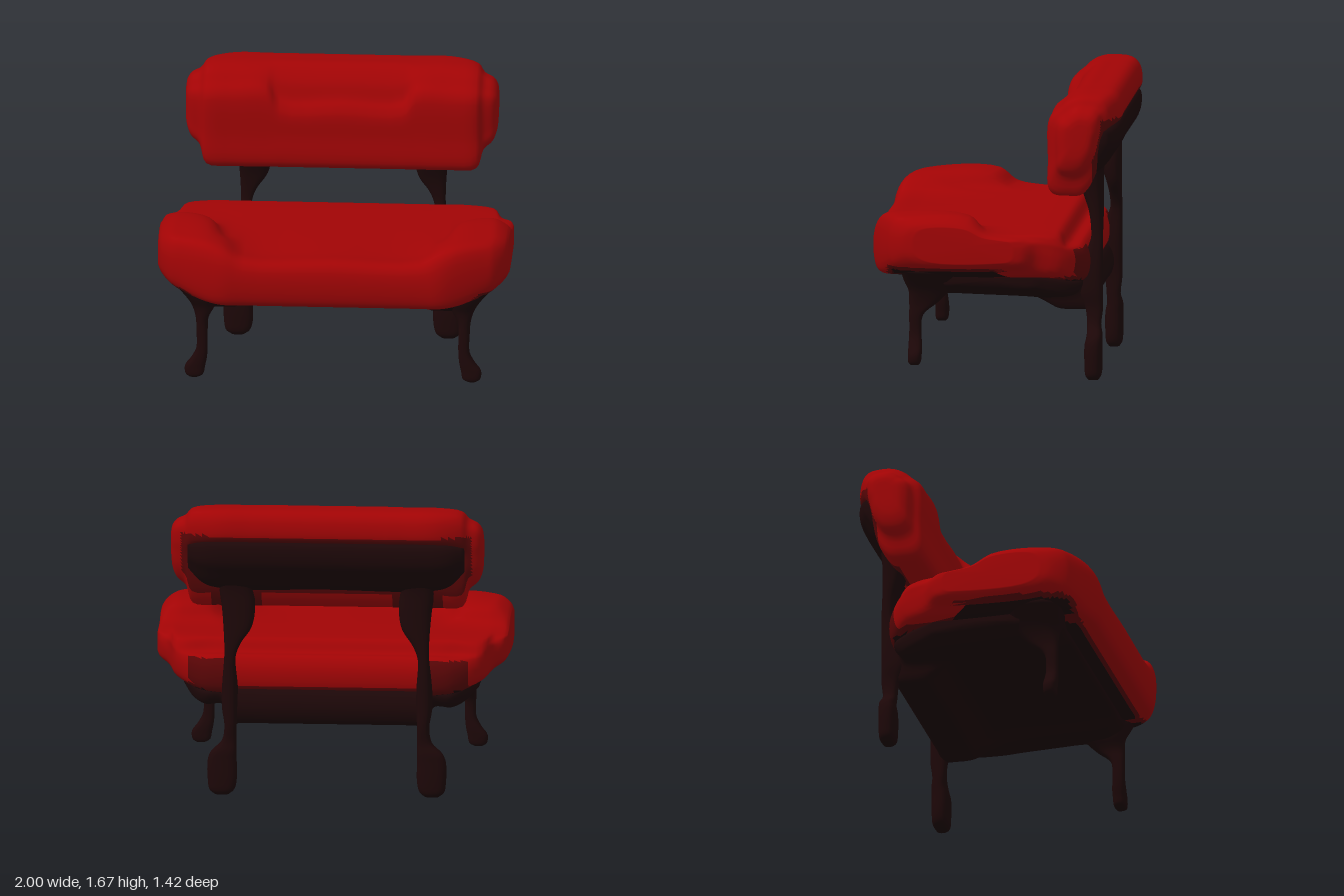
import * as THREE from 'three';

const material = (name, color) => Object.assign(new THREE.MeshStandardMaterial({ color }), { name });
const red = material('red upholstery', 0xa20405);
const maroon = material('maroon edging', 0x5a0506);
const dark = material('dark wood', 0x1d0708);

// Skin smooth rings of points into a closed solid
function skin(rings, steps = 4) {
  const n = rings[0].length;
  const cols = rings[0].map((_, j) =>
    new THREE.CatmullRomCurve3(rings.map(r => r[j])).getPoints((rings.length - 1) * steps));
  const count = cols[0].length, pos = [], index = [];
  for (let i = 0; i < count; i++) for (let j = 0; j < n; j++) pos.push(...cols[j][i].toArray());
  for (const i of [0, count - 1]) {
    const mid = new THREE.Vector3();
    cols.forEach(c => mid.addScaledVector(c[i], 1 / n));
    pos.push(...mid.toArray());
  }
  const first = count * n, last = first + 1, end = (count - 1) * n;
  for (let j = 0; j < n; j++) {
    const k = (j + 1) % n;
    for (let i = 0; i < count - 1; i++) {
      const a = i * n + j, b = i * n + k;
      index.push(a, a + n, b, b, a + n, b + n);
    }
    index.push(first, j, k, last, end + k, end + j);
  }
  const g = new THREE.BufferGeometry();
  g.setAttribute('position', new THREE.Float32BufferAttribute(pos, 3));
  g.setIndex(index);
  g.computeVertexNormals();
  return g;
}

// Sort faces into material groups; the rule takes the face centre (|x|, y, z)
function paint(g, rule) {
  const p = g.attributes.position, idx = g.index.array, sets = [[], [], []];
  for (let i = 0; i < idx.length; i += 3) {
    const f = [idx[i], idx[i + 1], idx[i + 2]];
    const mean = axis => f.reduce((sum, v) => sum + p['get' + axis](v) / 3, 0);
    sets[rule(Math.abs(mean('X')), mean('Y'), mean('Z'))].push(...f);
  }
  let start = 0;
  sets.forEach((s, m) => { g.addGroup(start, s.length, m); start += s.length; });
  g.setIndex(sets.flat());
  return g;
}

// Symmetric body along x; each station is [x, [z, y] profile points], from the centre outwards
function acrossBody(stations) {
  const ring = ([x, pts], s) => new THREE.CatmullRomCurve3(
    pts.map(([z, y]) => new THREE.Vector3(s * x, y, z)), true).getPoints(pts.length * 5).slice(0, -1);
  return skin([
    ...stations.slice(1).reverse().map(st => ring(st, -1)),
    ...stations.map(st => ring(st, 1)),
  ]);
}

// Upright limb; each station is [y, x0, x1, z0, z1]
function limb(stations, side) {
  return skin(stations.map(([y, x0, x1, z0, z1]) =>
    Array.from({ length: 20 }, (_, j) => {
      const a = j / 20 * Math.PI * 2;
      const soft = v => Math.sign(v) * Math.pow(Math.abs(v), 0.75);
      return new THREE.Vector3(
        side * (x0 + x1) / 2 + soft(Math.cos(a)) * (x1 - x0) / 2, y,
        (z0 + z1) / 2 + soft(Math.sin(a)) * (z1 - z0) / 2);
    })));
}

// Pull a profile towards a point, for rounded ends
const shrink = (pts, k, [cz, cy]) => pts.map(([z, y]) => [cz + (z - cz) * k, cy + (y - cy) * k]);

export function createModel() {
  const model = new THREE.Group();
  model.name = 'bench';
  const add = (name, geometry, mat) => {
    const mesh = new THREE.Mesh(geometry, mat);
    mesh.name = name;
    model.add(mesh);
  };
  const cushionColours = [red, maroon, dark];

  // Seat cushion, with raised pads at the front corners and a low lip at the back
  const lip = [[-.3, .875], [-.37, .865], [-.42, .8], [-.49, .79], [-.53, .7], [-.5, .58], [-.3, .59]];
  const seatMid = [[.67, .61], [.7, .67], [.7, .82], [.66, .873], [.5, .875], [.2, .875], [.02, .875],
    ...lip, [.55, .59]];
  const seatPadIn = [[.67, .61], [.7, .67], [.7, .85], [.655, .93], [.5, .945], [.3, .9], [.02, .875],
    ...lip, [.55, .59]];
  const seatPad = [[.64, .62], [.67, .68], [.67, .88], [.63, .955], [.52, .977], [.18, .96], [.05, .885],
    [-.3, .875], [-.37, .865], [-.41, .8], [-.48, .78], [-.51, .7], [-.48, .59], [-.3, .6], [.52, .61]];
  const seatSide = [[.57, .665], [.605, .72], [.605, .88], [.57, .955], [.47, .977], [.13, .972], [.03, .89],
    [-.3, .87], [-.36, .85], [-.395, .81], [-.405, .78], [-.405, .72], [-.37, .65], [-.2, .63], [.46, .635]];
  const seatEdge = [[.55, .7], [.575, .75], [.575, .88], [.54, .945], [.45, .972], [.14, .967], [.03, .89],
    [-.15, .865], [-.21, .85], [-.25, .83], [-.26, .8], [-.26, .75], [-.23, .69], [-.1, .67], [.44, .665]];
  const seatEnd = [[.48, .74], [.505, .78], [.505, .87], [.47, .92], [.38, .945], [.15, .935], [.03, .88],
    [-.1, .86], [-.16, .85], [-.18, .83], [-.19, .81], [-.19, .77], [-.17, .72], [-.05, .7], [.38, .7]];
  const seatColour = (x, y, z) => {
    const under = x > .76 && z > -.05 ? .66 : .6;
    if (y < under && z < .58 && z > -.49) return 2;
    if (y < under + .022 && z < .61) return 1;
    return z < -.46 && x > .56 && y < .775 ? 1 : 0;
  };
  add('seatCushion', paint(acrossBody([[0, seatMid], [.5, seatMid], [.62, seatPadIn], [.72, seatPad],
    [.87, seatSide], [.925, seatEdge], [.98, seatEnd], [1, shrink(seatEnd, .8, [.15, .82])]]),
  seatColour), cushionColours);

  // Backrest cushion, stepped along the top front and overhanging at the rear
  const backRear = [[-.48, 1.664], [-.56, 1.67], [-.66, 1.66], [-.7, 1.61], [-.7, 1.5],
    [-.62, 1.46], [-.57, 1.2], [-.5, 1.09], [-.42, 1.08], [-.33, 1.09]];
  const backMid = [[-.302, 1.13], [-.302, 1.28], [-.303, 1.41], [-.325, 1.46], [-.36, 1.5],
    [-.4, 1.59], ...backRear];
  const backOut = [[-.302, 1.13], [-.302, 1.28], [-.302, 1.49], [-.325, 1.55], [-.37, 1.59],
    [-.42, 1.635], ...backRear];
  const backSide = [[-.31, 1.14], [-.31, 1.29], [-.31, 1.49], [-.33, 1.54], [-.38, 1.585], [-.42, 1.62],
    [-.48, 1.645], [-.55, 1.65], [-.62, 1.635], [-.65, 1.59], [-.65, 1.49], [-.61, 1.42], [-.57, 1.2],
    [-.5, 1.1], [-.42, 1.09], [-.34, 1.1]];
  const backEdge = [[-.36, 1.24], [-.355, 1.32], [-.355, 1.47], [-.37, 1.52], [-.41, 1.555], [-.44, 1.58],
    [-.48, 1.6], [-.53, 1.6], [-.58, 1.59], [-.61, 1.56], [-.615, 1.48], [-.6, 1.41], [-.57, 1.3],
    [-.51, 1.22], [-.45, 1.2], [-.39, 1.21]];
  const backColour = (x, y, z) => {
    if (z < -.56 && y > 1.17 && y < 1.525 && x < .83) return 1;
    return z < -.47 && y < 1.21 && x > .37 && x < .66 ? 1 : 0;
  };
  add('backrestCushion', paint(acrossBody([[0, backMid], [.35, backMid], [.43, backOut], [.62, backOut],
    [.77, backSide], [.81, shrink(backEdge, 1.04, [-.5, 1.46])], [.86, shrink(backEdge, .86, [-.5, 1.46])],
    [.885, shrink(backEdge, .62, [-.5, 1.46])], [.892, shrink(backEdge, .35, [-.5, 1.46])]]),
  backColour), cushionColours);

  // Dark panel on the rear of the backrest, sloping in towards its foot
  const panel = [[-.54, 1.19], [-.54, 1.46], [-.6, 1.49], [-.67, 1.495], [-.702, 1.465],
    [-.7, 1.37], [-.66, 1.3], [-.6, 1.22]];
  add('backrestPanel', acrossBody([[0, panel], [.6, panel],
    [.71, shrink(panel, .88, [-.55, 1.41])], [.79, shrink(panel, .58, [-.55, 1.42])]]), dark);

  // Frame under the seat, hollowed in the middle, with a deeper rail at the rear
  const frame = [[.5, .57], [.5, .63], [.4, .65], [-.4, .64], [-.52, .6], [-.555, .5],
    [-.52, .41], [-.45, .4], [-.34, .405], [-.29, .45], [-.2, .53], [.2, .54], [.42, .55]];
  const frameRim = [[.5, .56], [.5, .63], [.4, .65], [-.4, .64], [-.52, .6], [-.555, .5],
    [-.52, .41], [-.45, .4], [-.34, .405], [-.27, .44], [-.16, .485], [.2, .5], [.42, .51]];
  const frameSide = [[.5, .57], [.5, .63], [.4, .65], [-.3, .64], [-.45, .61], [-.49, .57],
    [-.46, .51], [-.4, .49], [-.32, .485], [-.25, .485], [-.15, .49], [.2, .5], [.42, .51]];
  add('seatFrame', acrossBody([[0, frame], [.48, frame], [.56, frameRim], [.6, frameSide],
    [.7, frameSide], [.77, shrink(frameSide, .85, [.05, .64])],
    [.84, shrink(frameSide, .55, [.1, .66])]]), dark);

  // Legs with outward feet; the rear pair carries the backrest
  const frontLeg = [[.1, .765, .82, .43, .48], [.115, .74, .84, .42, .49], [.16, .73, .845, .415, .492],
    [.21, .72, .81, .415, .492], [.27, .715, .78, .42, .49], [.38, .715, .78, .41, .49],
    [.45, .71, .785, .33, .49], [.52, .67, .81, .26, .495], [.58, .65, .85, .22, .52],
    [.66, .65, .92, .2, .54]];
  const backLeg = [[0, .56, .64, -.58, -.52], [.025, .53, .67, -.595, -.505], [.08, .515, .68, -.6, -.5],
    [.2, .515, .68, -.6, -.5], [.25, .515, .66, -.6, -.51], [.31, .515, .6, -.59, -.51],
    [.4, .515, .585, -.6, -.5], [.5, .51, .6, -.6, -.46], [.62, .51, .6, -.6, -.46],
    [.8, .52, .585, -.6, -.53], [.88, .49, .585, -.6, -.53], [.97, .43, .59, -.6, -.515],
    [1.08, .41, .6, -.6, -.48], [1.22, .42, .62, -.605, -.47], [1.34, .42, .62, -.65, -.5]];
  for (const [label, side] of [['left', 1], ['right', -1]]) {
    add(label + 'FrontLeg', limb(frontLeg, side), dark);
    add(label + 'BackLeg', limb(backLeg, side), dark);
  }
  return model;
}
